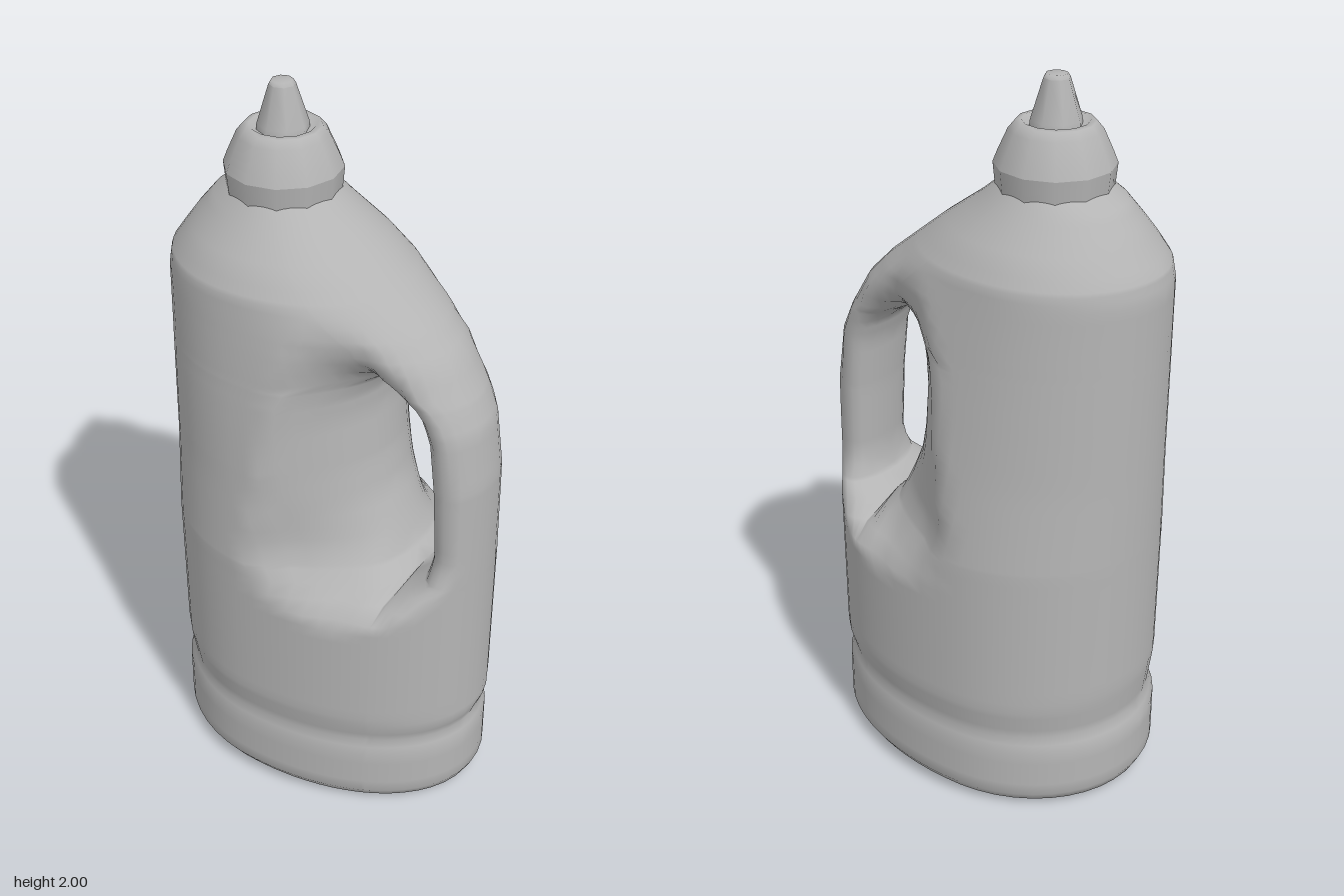
import * as THREE from 'three';
import { mergeVertices } from 'three/addons/utils/BufferGeometryUtils.js';

// Piecewise-linear lookup in a list of [key, value]
function lookup(table, k) {
  if (k <= table[0][0]) return table[0][1];
  for (let i = 1; i < table.length; i++) {
    const [k0, v0] = table[i - 1], [k1, v1] = table[i];
    if (k <= k1) return v0 + ((v1 - v0) * (k - k0)) / (k1 - k0);
  }
  return table[table.length - 1][1];
}

// Body outline by height: left edge, right edge, half depth, widest point
const LEFT = [[0, -0.43], [0.02, -0.465], [0.05, -0.48], [0.19, -0.48], [0.24, -0.46], [0.36, -0.475],
  [1.5, -0.485], [1.55, -0.475], [1.64, -0.41], [1.7, -0.36], [1.73, -0.31]];
const RIGHT = [[0, 0.43], [0.02, 0.46], [0.05, 0.475], [0.19, 0.475], [0.24, 0.46], [0.29, 0.478], [1.07, 0.48],
  [1.23, 0.46], [1.3, 0.43], [1.4, 0.37], [1.47, 0.3], [1.6, 0.14], [1.68, 0.03], [1.73, -0.03]];
const DEPTH = [[0, 0.3], [0.02, 0.34], [0.05, 0.36], [0.19, 0.357], [0.24, 0.345], [0.33, 0.36], [0.77, 0.357],
  [1.2, 0.315], [1.54, 0.28], [1.6, 0.245], [1.68, 0.18], [1.73, 0.14]];
const WIDEST = [[0, -0.08], [1, -0.08], [1.5, -0.16], [1.73, -0.17]];
// Handle hole edges; beyond its ends both run along one shared seam
const HOLE_IN = [[0, 0.28], [0.74, 0.3], [0.78, 0.26], [0.85, 0.23], [0.95, 0.19], [1.05, 0.17], [1.2, 0.155],
  [1.27, 0.16], [1.31, 0.18], [1.33, 0.21], [1.45, 0.17], [1.6, 0], [1.73, -0.12]];
const HOLE_OUT = [[0, 0.28], [0.74, 0.3], [0.78, 0.35], [0.85, 0.36], [0.95, 0.355], [1.05, 0.35], [1.2, 0.335],
  [1.27, 0.31], [1.31, 0.26], [1.33, 0.21], [1.45, 0.17], [1.6, 0], [1.73, -0.12]];
// Half depth left by the pinched grip, by x
const GRIP = [[-0.1, 0.4], [0.05, 0.26], [0.2, 0.175], [0.43, 0.115], [0.5, 0.1]];

const inHole = ([y]) => y >= 0.74 && y <= 1.33;
const contour = [...HOLE_IN.filter(inHole), ...HOLE_OUT.filter(inHole).reverse()];

function holeDistance(x, y) {
  let best = Infinity;
  for (let i = 1; i < contour.length; i++) {
    const [ay, ax] = contour[i - 1], [by, bx] = contour[i];
    const dx = bx - ax, dy = by - ay, len = dx * dx + dy * dy;
    const t = len ? THREE.MathUtils.clamp(((x - ax) * dx + (y - ay) * dy) / len, 0, 1) : 0;
    best = Math.min(best, Math.hypot(x - ax - t * dx, y - ay - t * dy));
  }
  return best;
}

// Half depth of the body at a point of its side outline
function halfDepth(x, y) {
  const s = holeDistance(x, y);
  if (s < 1e-4) return 0;
  const mid = lookup(WIDEST, y);
  const t = (x - mid) / (lookup(x < mid ? LEFT : RIGHT, y) - mid);
  const egg = lookup(DEPTH, y) * Math.sqrt(Math.max(0, 1 - t * t));
  const grip = lookup(GRIP, x) + 0.4 * (1 - THREE.MathUtils.smoothstep(y, 0.35, 0.85));
  const radius = 0.16 - 0.1 * THREE.MathUtils.smoothstep(x, 0.1, 0.3);
  const q = 1 - Math.min(1, s / radius);
  return Math.min(egg, grip) * Math.sqrt(1 - q * q);
}

// Row heights: every key height, with wide gaps subdivided
function rowHeights() {
  const keys = [LEFT, RIGHT, DEPTH, HOLE_IN].flat().map(([y]) => y);
  const sorted = [...new Set(keys)].sort((a, b) => a - b);
  const rows = [sorted[0]];
  for (let i = 1; i < sorted.length; i++) {
    const a = sorted[i - 1], b = sorted[i], n = Math.ceil((b - a) / 0.035);
    for (let k = 1; k <= n; k++) rows.push(k === n ? b : a + ((b - a) * k) / n);
  }
  return rows;
}

// Points across one panel of a row, closer together at its edges
function rowPoints(y, from, to, count) {
  const a = lookup(from, y), b = lookup(to, y);
  return Array.from({ length: count + 1 }, (_, i) => {
    const x = a + ((b - a) * (1 - Math.cos((Math.PI * i) / count))) / 2;
    return [x, y, halfDepth(x, y)];
  });
}

function geometryFrom(positions) {
  const g = new THREE.BufferGeometry();
  g.setAttribute('position', new THREE.Float32BufferAttribute(positions, 3));
  const merged = mergeVertices(g, 1e-4);
  merged.computeVertexNormals();
  return merged;
}

// Front and back sheets of the main panel and the handle panel
function bodyGeometry(panels, rows) {
  const out = [];
  for (const [from, to, count] of panels) {
    const grid = rows.map((y) => rowPoints(y, from, to, count));
    for (let j = 0; j + 1 < rows.length; j++) {
      for (let i = 0; i < count; i++) {
        const a = grid[j][i], b = grid[j][i + 1], c = grid[j + 1][i + 1], d = grid[j + 1][i];
        for (const p of [a, b, c, a, c, d]) out.push(p[0], p[1], p[2]);
        for (const p of [a, c, b, a, d, c]) out.push(p[0], p[1], -p[2]);
      }
    }
  }
  return geometryFrom(out);
}

// Flat end closing the body at one height
function endGeometry(panels, y, up) {
  const out = [];
  for (const [from, to, count] of panels) {
    const row = rowPoints(y, from, to, count);
    for (let i = 0; i < count; i++) {
      const [x0, , d0] = row[i], [x1, , d1] = row[i + 1];
      const quad = [[x0, d0], [x1, d1], [x1, -d1], [x0, -d0]];
      const order = up ? [0, 1, 2, 0, 2, 3] : [0, 2, 1, 0, 3, 2];
      for (const k of order) out.push(quad[k][0], y, quad[k][1]);
    }
  }
  return geometryFrom(out);
}

export function createModel() {
  const model = new THREE.Group();
  const plastic = new THREE.MeshStandardMaterial({ color: 0xb4b4b4 });
  plastic.name = 'grey plastic';
  const add = (name, geometry, parent = model) => {
    const mesh = new THREE.Mesh(geometry, plastic);
    mesh.name = name;
    parent.add(mesh);
    return mesh;
  };

  // Bottle body with its moulded handle
  const panels = [[LEFT, HOLE_IN, 22], [HOLE_OUT, RIGHT, 10]];
  add('bottleBody', bodyGeometry(panels, rowHeights()));
  add('bottleBase', endGeometry(panels, 0, false));
  add('bottleTop', endGeometry(panels, 1.73, true));

  // Cap and nozzle, turned from short profiles
  const cap = new THREE.Group();
  cap.name = 'cap';
  cap.position.x = -0.17;
  model.add(cap);
  const turned = (name, profile, sides) =>
    add(name, new THREE.LatheGeometry(profile.map(([r, y]) => new THREE.Vector2(r, y)), sides), cap);
  turned('capUnderside', [[0, 1.72], [0.148, 1.72]], 12);
  turned('capCollar', [[0.148, 1.72], [0.154, 1.78]], 12);
  turned('capShoulder', [[0.154, 1.78], [0.142, 1.81], [0.117, 1.865], [0.1, 1.885], [0.085, 1.887], [0.07, 1.875], [0, 1.875]], 12);
  turned('nozzle', [[0.068, 1.87], [0.066, 1.89], [0.034, 1.99]], 8);
  turned('nozzleTip', [[0.034, 1.99], [0.028, 2], [0, 2]], 8);
  return model;
}
